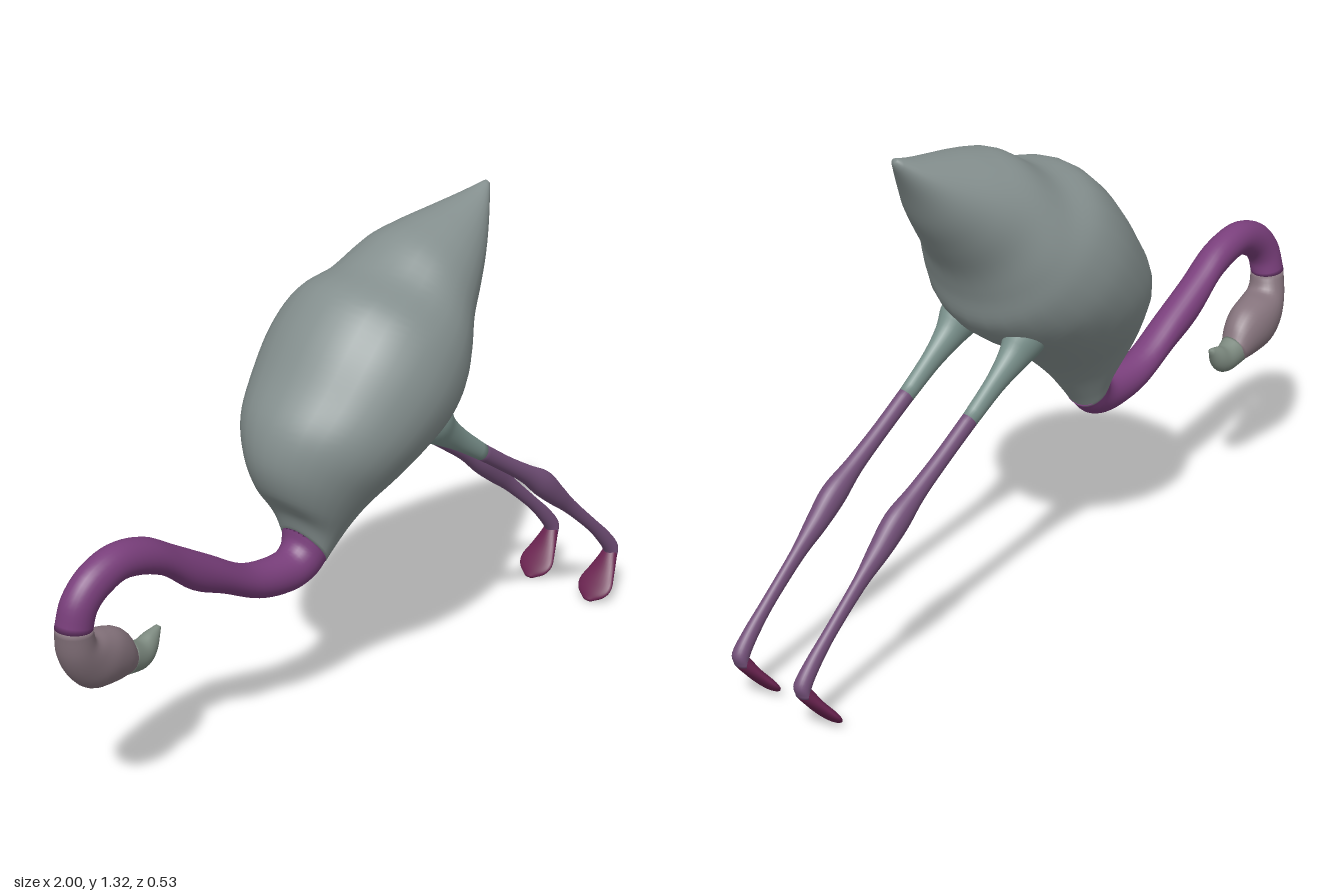
import * as THREE from 'three';

const SIDES = 28;

// Smooth skin through rows of [upperX, upperY, lowerX, lowerY, halfWidth, centreZ]
function loft(name, color, rows, steps = 5) {
  const curve = (f) => new THREE.CatmullRomCurve3(rows.map(f), false, 'catmullrom', 0.5);
  const upper = curve((r) => new THREE.Vector3(r[0], r[1], r[5] || 0));
  const lower = curve((r) => new THREE.Vector3(r[2], r[3], r[4]));
  const n = (rows.length - 1) * steps;
  const pos = [], index = [];
  for (let i = 0; i <= n; i++) {
    const u = upper.getPoint(i / n), l = lower.getPoint(i / n);
    for (let j = 0; j < SIDES; j++) {
      const a = (j / SIDES) * Math.PI * 2, c = Math.cos(a) / 2;
      pos.push((u.x + l.x) / 2 + (u.x - l.x) * c, (u.y + l.y) / 2 + (u.y - l.y) * c, u.z + l.z * Math.sin(a));
    }
  }
  for (let i = 0; i < n; i++) {
    for (let j = 0; j < SIDES; j++) {
      const a = i * SIDES + j, b = i * SIDES + ((j + 1) % SIDES);
      index.push(a, a + SIDES, b, b, a + SIDES, b + SIDES);
    }
  }
  // End caps
  for (const i of [0, n]) {
    const u = upper.getPoint(i / n), l = lower.getPoint(i / n), c = pos.length / 3;
    pos.push((u.x + l.x) / 2, (u.y + l.y) / 2, u.z);
    for (let j = 0; j < SIDES; j++) {
      const a = i * SIDES + j, b = i * SIDES + ((j + 1) % SIDES);
      if (i === 0) index.push(c, a, b);
      else index.push(c, b, a);
    }
  }
  const geo = new THREE.BufferGeometry();
  geo.setAttribute('position', new THREE.Float32BufferAttribute(pos, 3));
  geo.setIndex(index);
  geo.computeVertexNormals();
  const mesh = new THREE.Mesh(geo, new THREE.MeshStandardMaterial({ color }));
  mesh.name = name;
  return mesh;
}

// Rows for a limb from [x, y, radius in profile, half width] along its centre line
function limb(points) {
  return points.map(([x, y, r, w], i) => {
    const p = points[Math.max(i - 1, 0)], q = points[Math.min(i + 1, points.length - 1)];
    const d = new THREE.Vector2(q[0] - p[0], q[1] - p[1]).normalize().multiplyScalar(r);
    return [x + d.y, y - d.x, x - d.y, y + d.x, w, 0];
  });
}

function makeLeg(name, z) {
  const leg = new THREE.Group();
  leg.name = name;
  // Feathered thigh running out of the belly
  leg.add(loft('thigh', 0x7a918c, limb([
    [0.13, 0.83, 0.05, 0.045], [0.19, 0.79, 0.06, 0.05], [0.235, 0.748, 0.043, 0.035],
    [0.3, 0.7, 0.03, 0.023], [0.39, 0.636, 0.023, 0.02],
  ])));
  // Shank with the swollen middle joint
  leg.add(loft('shank', 0x735079, limb([
    [0.38, 0.643, 0.023, 0.02], [0.49, 0.568, 0.022, 0.02], [0.58, 0.508, 0.026, 0.023],
    [0.65, 0.457, 0.036, 0.03], [0.71, 0.402, 0.03, 0.026], [0.78, 0.34, 0.021, 0.016],
    [0.88, 0.25, 0.018, 0.015], [0.94, 0.19, 0.021, 0.018], [0.975, 0.145, 0.022, 0.022],
    [0.972, 0.118, 0.016, 0.024],
  ])));
  // Folded webbed foot
  leg.add(loft('foot', 0x6a2350, limb([
    [0.982, 0.148, 0.014, 0.018], [0.968, 0.12, 0.018, 0.027], [0.94, 0.082, 0.015, 0.043],
    [0.913, 0.05, 0.014, 0.056], [0.893, 0.027, 0.012, 0.045], [0.876, 0.01, 0.006, 0.012],
  ])));
  leg.position.z = z;
  return leg;
}

export function createModel() {
  const model = new THREE.Group();
  model.name = 'wadingBird';

  // Body from tail tip down to the breast
  model.add(loft('body', 0x85908f, [
    [0.528, 1.328, 0.535, 1.31, 0.01],
    [0.46, 1.312, 0.485, 1.22, 0.058],
    [0.37, 1.298, 0.44, 1.13, 0.105],
    [0.27, 1.283, 0.39, 1.055, 0.148],
    [0.18, 1.262, 0.34, 0.98, 0.185],
    [0.08, 1.205, 0.31, 0.91, 0.225],
    [-0.04, 1.178, 0.285, 0.83, 0.255],
    [-0.13, 1.1, 0.22, 0.765, 0.266],
    [-0.21, 0.99, 0.13, 0.71, 0.25],
    [-0.28, 0.89, 0.06, 0.66, 0.215],
    [-0.302, 0.79, 0, 0.61, 0.165],
    [-0.278, 0.7, -0.05, 0.56, 0.125],
    [-0.222, 0.63, -0.1, 0.5, 0.09],
    [-0.2, 0.575, -0.125, 0.465, 0.07],
  ]));

  // Neck: out of the breast, forward and over the loop
  model.add(loft('neck', 0x7a3f7c, [
    [-0.2, 0.58, -0.12, 0.47, 0.07, 0],
    [-0.21, 0.543, -0.165, 0.43, 0.058, 0],
    [-0.25, 0.525, -0.24, 0.418, 0.052, 0],
    [-0.37, 0.542, -0.345, 0.44, 0.05, 0],
    [-0.5, 0.618, -0.465, 0.5, 0.049, 0.005],
    [-0.62, 0.69, -0.57, 0.55, 0.049, 0.01],
    [-0.72, 0.748, -0.68, 0.635, 0.047, 0.018],
    [-0.83, 0.77, -0.8, 0.677, 0.045, 0.026],
    [-0.925, 0.742, -0.868, 0.66, 0.044, 0.028],
    [-0.982, 0.68, -0.9, 0.63, 0.044, 0.024],
    [-1, 0.6, -0.908, 0.59, 0.046, 0.016],
  ]));

  // Head
  model.add(loft('head', 0x85737c, [
    [-1, 0.6, -0.908, 0.59, 0.046, 0.016],
    [-0.985, 0.52, -0.893, 0.555, 0.054, 0.005],
    [-0.95, 0.452, -0.85, 0.546, 0.062, -0.006],
    [-0.9, 0.405, -0.8, 0.53, 0.063, -0.012],
    [-0.83, 0.391, -0.763, 0.498, 0.054, -0.018],
    [-0.77, 0.388, -0.74, 0.456, 0.04, -0.024],
  ]));

  // Hooked beak
  model.add(loft('beak', 0x7d8a80, [
    [-0.79, 0.388, -0.745, 0.465, 0.042, -0.022],
    [-0.71, 0.376, -0.71, 0.452, 0.034, -0.028],
    [-0.665, 0.4, -0.68, 0.46, 0.025, -0.032],
    [-0.636, 0.458, -0.646, 0.467, 0.007, -0.034],
  ]));

  model.add(makeLeg('leftLeg', 0.122), makeLeg('rightLeg', -0.095));
  return model;
}
